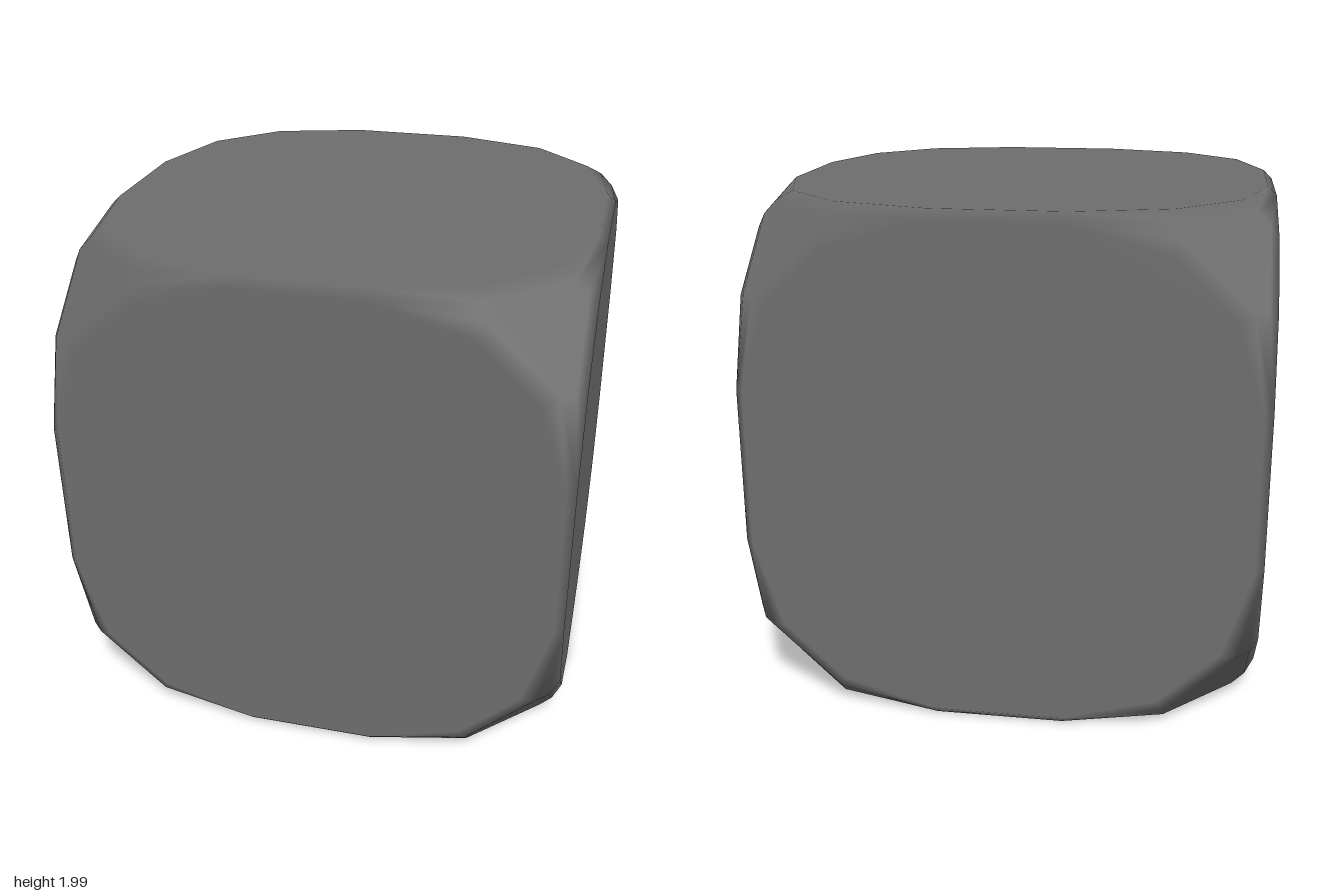
import * as THREE from 'three';
import { ConvexGeometry } from 'three/addons/geometries/ConvexGeometry.js';

// All orderings of three distinct coordinates
const orderings = ([a, b, c]) => [[a, b, c], [a, c, b], [b, a, c], [b, c, a], [c, a, b], [c, b, a]];

// Key points of one octant: flat face outline, then corner facet
const profile = [[1, 0.965, 0.25], [1, 0.855, 0.62], [0.965, 0.915, 0.645]];

export function createModel() {
  const group = new THREE.Group();
  group.name = 'roundedCube';

  // Mirror the octant points to all eight corners
  const points = [];
  for (const p of profile.flatMap(orderings))
    for (const sx of [-1, 1]) for (const sy of [-1, 1]) for (const sz of [-1, 1])
      points.push(new THREE.Vector3(p[0] * sx, p[1] * sy, p[2] * sz));

  // One pulled-out vertex on the lower left edge
  const spur = new THREE.Vector3(1, -1, 0.25);
  points.push(spur);

  const hull = new ConvexGeometry(points);
  const pos = hull.attributes.position;
  const normal = hull.attributes.normal;
  const v = new THREE.Vector3();
  const n = new THREE.Vector3();
  for (let i = 0; i < pos.count; i++) {
    v.fromBufferAttribute(pos, i);

    // Faces and corner facets shade flat; the bevels blend between them
    if (v.distanceTo(spur) > 0.01) {
      n.copy(v).multiplyScalar(1.001).roundToZero();
      if (n.lengthSq() === 0) n.set(Math.sign(v.x), Math.sign(v.y), Math.sign(v.z)).normalize();
      normal.setXYZ(i, n.x, n.y, n.z);
    }

    // Slightly longer upright edges, and a slight lean along z
    const y = v.y + Math.sign(v.y) * 0.08 * Math.max(0, 0.9 - Math.abs(v.y));
    const z = v.z * 0.988 + y * (0.0125 - 0.0055 * v.z);
    pos.setXYZ(i, v.x * 0.99, y * 0.997 + 1, z);
  }

  const body = new THREE.Mesh(hull, new THREE.MeshStandardMaterial({ color: 0x6e6e6e }));
  body.name = 'body';
  group.add(body);
  return group;
}
